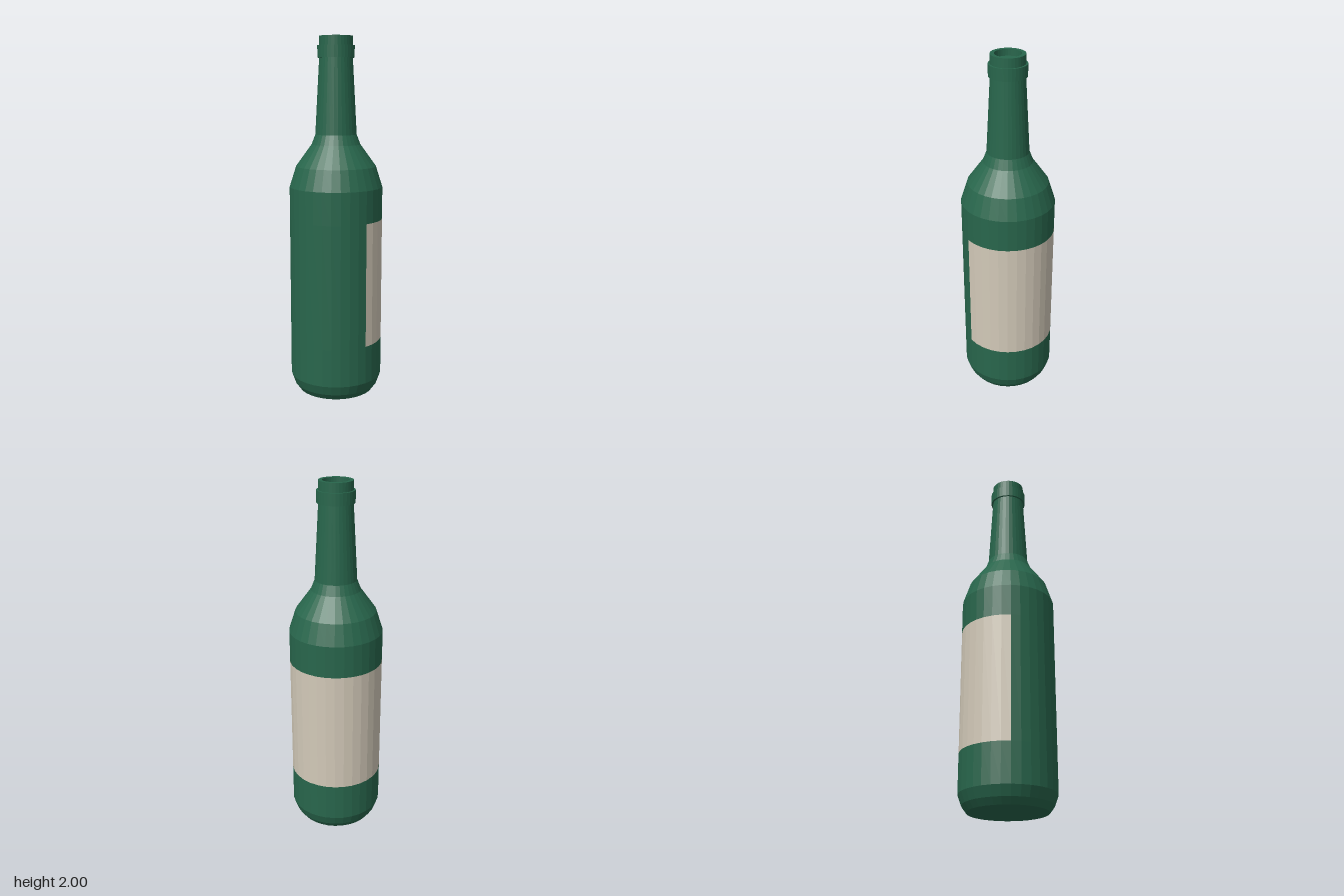
import * as THREE from 'three';

const SEGMENTS = 32;
const STEP = (Math.PI * 2) / SEGMENTS;

export function createModel() {
  const bottle = new THREE.Group();
  bottle.name = 'bottle';

  const glass = new THREE.MeshStandardMaterial({ color: 0x28664c, flatShading: true });
  glass.name = 'green glass';
  const paper = new THREE.MeshStandardMaterial({ color: 0xd2c9b8, flatShading: true });
  paper.name = 'cream paper';

  // Turns a [radius, height] profile around y, from one facet over a count of facets
  const turn = (name, profile, material, first = 0, count = SEGMENTS) => {
    const points = profile.map(([r, y]) => new THREE.Vector2(r, y));
    const geometry = new THREE.LatheGeometry(points, count, first * STEP, count * STEP);
    const mesh = new THREE.Mesh(geometry, material);
    mesh.name = name;
    bottle.add(mesh);
  };

  // Rounded foot and lower body
  turn('base', [[0, 0], [0.215, 0], [0.24, 0.035], [0.26, 0.09], [0.26, 0.305]], glass);

  // Middle band: label wraps 21 facets, bare glass fills the rest
  const band = [[0.26, 0.305], [0.26, 1.0]];
  turn('label', band, paper, -1, 21);
  turn('bareBody', band, glass, 20, 11);

  // Upper body, shoulder and tapering neck
  turn('shoulderAndNeck', [
    [0.26, 1.0], [0.26, 1.18], [0.223, 1.295], [0.136, 1.415], [0.115, 1.47], [0.092, 1.885],
  ], glass);

  // Collar, lip and recessed mouth
  turn('collar', [[0.092, 1.885], [0.102, 1.885], [0.102, 1.95], [0.092, 1.95]], glass);
  turn('lipAndMouth', [[0.092, 1.95], [0.092, 2], [0.071, 2], [0.071, 1.965], [0, 1.965]], glass);

  return bottle;
}
